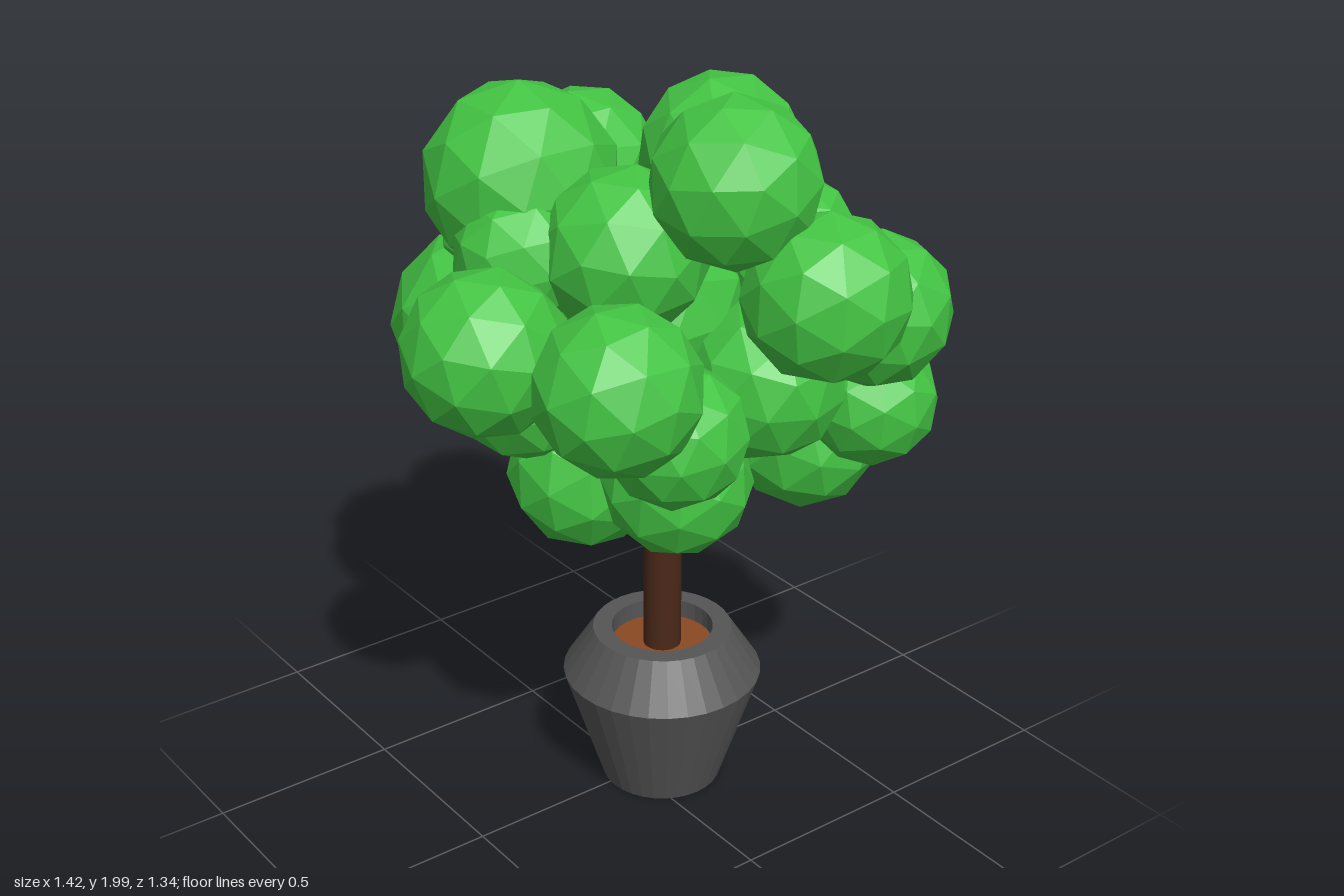
import * as THREE from 'three';

const mat = (color, flatShading = false) => new THREE.MeshStandardMaterial({ color, flatShading });

function part(name, geometry, material) {
  const mesh = new THREE.Mesh(geometry, material);
  mesh.name = name;
  return mesh;
}

// Foliage clumps: x, y, z, radius
const CLUMPS = [
  // crown
  [-0.225, 1.69, 0.18, 0.245], [0.33, 1.79, -0.04, 0.205], [0.07, 1.75, -0.21, 0.205],
  [0.09, 1.58, 0.1, 0.21], [-0.09, 1.55, 0.27, 0.17], [0.14, 1.5, -0.36, 0.19],
  // left side
  [0.5, 1.53, -0.18, 0.205], [0.41, 1.41, -0.42, 0.195], [0.3, 1.25, -0.17, 0.2],
  [0.32, 1.19, 0.12, 0.18], [0.35, 1.13, -0.48, 0.17],
  // right side
  [-0.46, 1.225, 0.14, 0.25], [-0.44, 1.6, -0.16, 0.2], [-0.45, 1.3, -0.21, 0.195],
  [-0.42, 1.46, 0.07, 0.19],
  // front
  [0.03, 1.39, 0.46, 0.205], [0.335, 1.36, 0.3, 0.205], [-0.16, 1.18, 0.21, 0.205],
  // back
  [0, 1.3, -0.5, 0.17], [-0.14, 1.5, -0.28, 0.19], [-0.1, 1.03, -0.22, 0.195],
  // underside and core
  [-0.08, 0.93, 0.1, 0.2], [0.2, 0.99, 0.02, 0.19], [0.13, 0.96, -0.455, 0.2],
  [0, 1.38, -0.04, 0.25],
];

export function createModel() {
  const model = new THREE.Group();
  model.name = 'pottedTree';

  // Pot and trunk share one upright axis
  const base = new THREE.Group();
  base.name = 'pottedTrunk';
  base.position.set(0.02, 0, -0.075);
  model.add(base);

  // Pot: flared body, shoulder, rim and inner wall
  const profile = [[0, 0], [0.16, 0], [0.265, 0.325], [0.185, 0.45], [0.135, 0.45], [0.135, 0.37]]
    .map(([r, y]) => new THREE.Vector2(r, y));
  const potMaterial = mat(0x555555, true);
  potMaterial.side = THREE.DoubleSide;
  base.add(part('pot', new THREE.LatheGeometry(profile, 32), potMaterial));

  // Soil
  const soil = part('soil', new THREE.CircleGeometry(0.14, 32), mat(0x8a4a22));
  soil.rotation.x = -Math.PI / 2;
  soil.position.y = 0.4;
  base.add(soil);

  // Trunk
  const trunk = part('trunk', new THREE.CylinderGeometry(0.05, 0.05, 0.85, 20), mat(0x4a2818));
  trunk.position.y = 0.8;
  base.add(trunk);

  // Foliage: faceted balls, each turned differently
  const foliage = new THREE.Group();
  foliage.name = 'foliage';
  const ball = new THREE.IcosahedronGeometry(1, 1);
  const leafMaterial = mat(0x43c443, true);
  CLUMPS.forEach(([x, y, z, r], i) => {
    const clump = part('leafClump', ball, leafMaterial);
    clump.position.set(x, y, z);
    clump.scale.setScalar(r * 1.01);
    clump.rotation.set(i * 1.3, i * 2.1, i * 0.7);
    foliage.add(clump);
  });
  model.add(foliage);

  return model;
}
